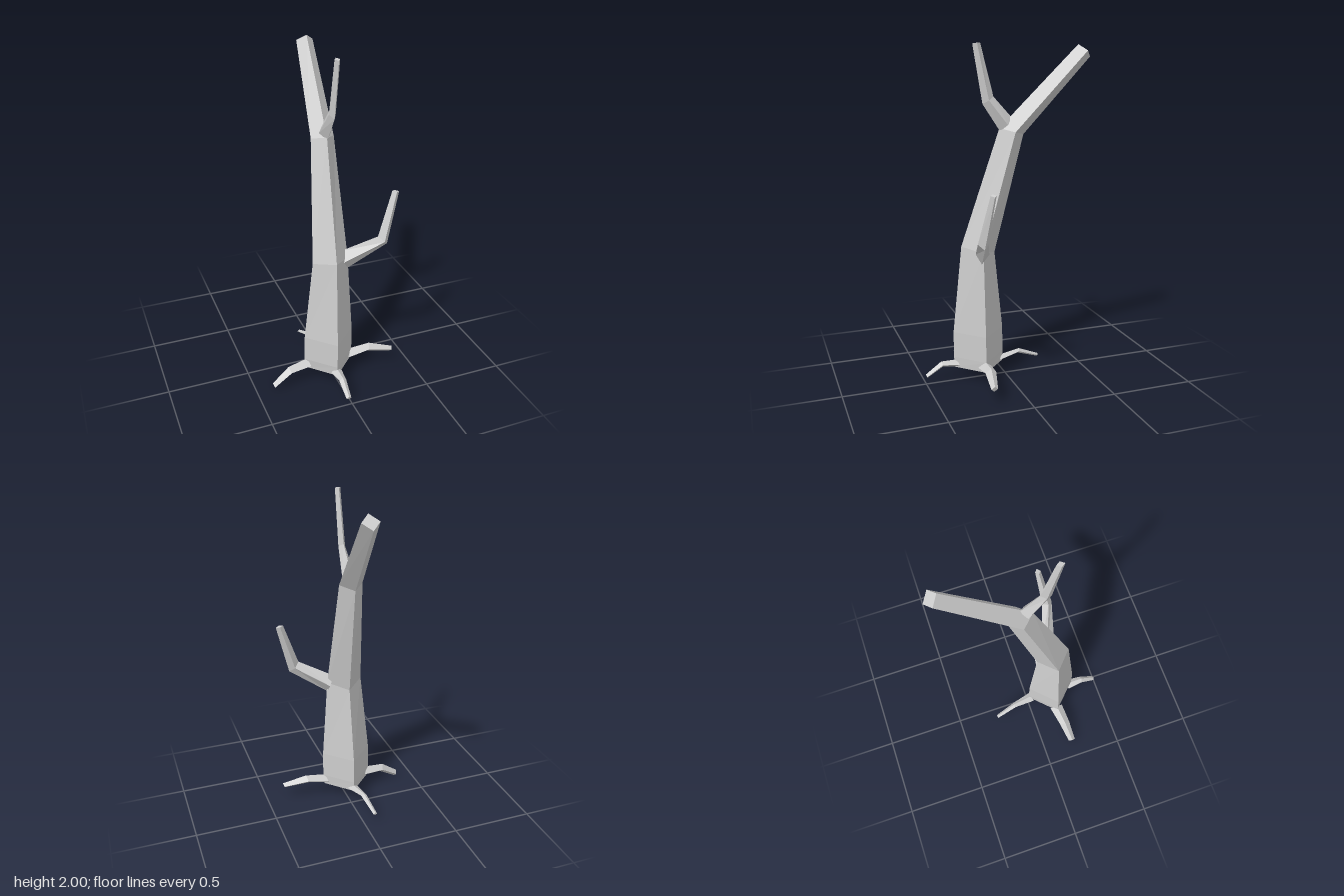
import * as THREE from 'three';

const bark = new THREE.MeshStandardMaterial({ color: 0xcccccc, flatShading: true });
bark.name = 'grey bark';

// Lofts diamond sections [centre, half axis a, half axis b] into a capped limb.
// a x b must point along the limb.
function limb(name, sections) {
  const rings = sections.map(([c, a, b]) => {
    const at = (v, s) => c.map((n, i) => n + v[i] * s);
    return [at(a, 1), at(b, 1), at(a, -1), at(b, -1)];
  });
  const pos = [];
  const quad = (p, q, r, s) => pos.push(...p, ...q, ...r, ...p, ...r, ...s);
  for (let k = 0; k < rings.length - 1; k++) {
    for (let i = 0; i < 4; i++) {
      const j = (i + 1) % 4;
      quad(rings[k][i], rings[k][j], rings[k + 1][j], rings[k + 1][i]);
    }
  }
  quad(...rings[rings.length - 1]);
  quad(...[...rings[0]].reverse());
  const geo = new THREE.BufferGeometry();
  geo.setAttribute('position', new THREE.Float32BufferAttribute(pos, 3));
  geo.computeVertexNormals();
  const mesh = new THREE.Mesh(geo, bark);
  mesh.name = name;
  return mesh;
}

// Root: stations are [centre, half width, half height]; dir is the outward [x, z].
function root(name, [dx, dz], stations) {
  return limb(name, stations.map(([c, w, h]) => [c, [dz * w, 0, -dx * w], [dx * h * 0.35, h, dz * h * 0.35]]));
}

export function createModel() {
  const tree = new THREE.Group();
  tree.name = 'bareTree';

  // Leaning trunk, bending back into the main limb
  tree.add(limb('trunk', [
    [[-0.02, 0.075, 0.163], [0.148, 0, 0], [0, 0, -0.15]],
    [[-0.022, 0.14, 0.164], [0.156, 0, 0], [0, 0, -0.156]],
    [[-0.022, 0.3, 0.165], [0.155, 0, 0], [0, 0, -0.155]],
    [[-0.012, 0.805, 0.165], [0.11, 0, 0], [0, -0.025, -0.103]],
    [[0.015, 1.5, -0.035], [0.07, 0, 0], [0, -0.02, -0.074]],
    [[0.067, 1.955, -0.462], [0.051, 0, 0], [0, -0.035, -0.038]],
  ]));

  // Bent branches
  tree.add(limb('sideBranch', [
    [[0.076, 0.795, 0.165], [0.015, 0, -0.037], [-0.018, 0.055, -0.01]],
    [[0.29, 0.917, 0.23], [0, 0, -0.031], [-0.03, 0.028, 0]],
    [[0.378, 1.203, 0.198], [0, 0, -0.017], [-0.022, 0.005, 0]],
  ]));
  tree.add(limb('upperBranch', [
    [[0.018, 1.54, 0], [0.037, 0, 0], [0, 0.038, -0.036]],
    [[0.018, 1.68, 0.108], [0.02, 0, 0], [0, 0.02, -0.033]],
    [[0.017, 1.997, 0.175], [0.016, 0, 0], [0, 0.003, -0.023]],
  ]));

  // Four roots, one at each corner of the trunk
  tree.add(root('rightRoot', [-1, 0], [
    [[-0.15, 0.107, 0.165], 0.042, 0.032],
    [[-0.28, 0.095, 0.182], 0.033, 0.026],
    [[-0.392, 0.02, 0.198], 0.022, 0.02],
  ]));
  tree.add(root('leftRoot', [1, 0], [
    [[0.11, 0.107, 0.165], 0.042, 0.034],
    [[0.24, 0.127, 0.172], 0.033, 0.028],
    [[0.392, 0.095, 0.2], 0.02, 0.017],
  ]));
  tree.add(root('frontRoot', [0, 1], [
    [[-0.02, 0.098, 0.295], 0.034, 0.024],
    [[-0.02, 0.105, 0.395], 0.022, 0.017],
    [[-0.019, 0.041, 0.493], 0.016, 0.012],
  ]));
  tree.add(root('backRoot', [0, -1], [
    [[-0.022, 0.094, 0.03], 0.034, 0.02],
    [[-0.046, 0.112, -0.105], 0.018, 0.014],
    [[-0.071, 0.055, -0.242], 0.012, 0.009],
  ]));

  return tree;
}
